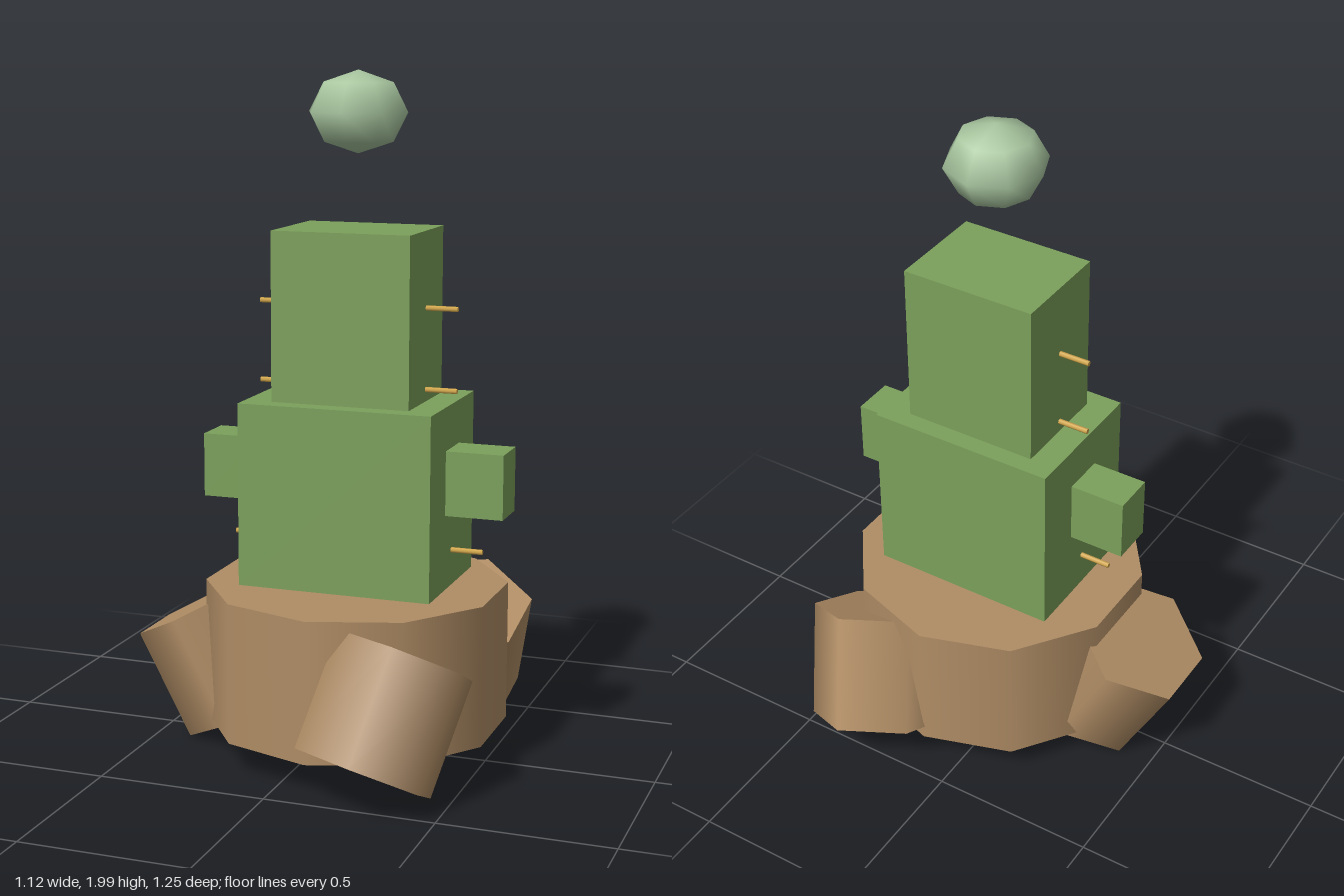
import * as THREE from 'three';

const CX = 0.1; // axis of the tower

export function createModel() {
  const model = new THREE.Group();
  const mat = (name, color) => Object.assign(new THREE.MeshStandardMaterial({ color }), { name });
  const green = mat('leafGreen', 0x7ba05b);
  const pale = mat('paleGreen', 0xa8c69f);
  const brown = mat('clayBrown', 0xb08d65);
  const gold = mat('spineGold', 0xd4a84b);

  const add = (name, geometry, material, x, y, z = 0) => {
    const mesh = new THREE.Mesh(geometry, material);
    mesh.name = name;
    mesh.position.set(x, y, z);
    model.add(mesh);
    return mesh;
  };
  const box = (name, w, y0, y1, d, x = CX) =>
    add(name, new THREE.BoxGeometry(w, y1 - y0, d), green, x, (y0 + y1) / 2);

  // ten-sided pot with a rounded underside
  add('pot', new THREE.CylinderGeometry(0.445, 0.445, 0.415, 10), brown, CX, 0.3075);
  add('potUnderside', new THREE.SphereGeometry(0.42, 10, 6), brown, CX, 0.25).scale.y = 0.48;

  // three stubby six-sided feet, each tipped by its place around the pot
  const tilt = 0.49;
  for (const angle of [Math.PI, Math.PI / 3, -Math.PI / 3]) {
    const c = Math.cos(angle), s = Math.sin(angle);
    const foot = add('foot', new THREE.CylinderGeometry(0.21, 0.21, 0.345, 6), brown,
      CX + 0.417 * c, 0.246, 0.417 * s);
    foot.rotation.set(-tilt * s, 0, -tilt * c, 'ZXY');
  }

  // stacked body blocks
  box('lowerBody', 0.576, 0.53, 1.065, 0.426);
  box('upperBody', 0.412, 1.065, 1.555, 0.314);

  // side arms and thin spines, mirrored
  for (const side of [1, -1]) {
    box('arm', 0.17, 0.75, 0.938, 0.13, CX + side * 0.372);
    for (const [y, from, to] of [[0.635, 0.28, 0.382], [1.1, 0.2, 0.3], [1.335, 0.2, 0.3]]) {
      const spine = add('spine', new THREE.CylinderGeometry(0.008, 0.008, to - from, 6), gold,
        CX + side * (from + to) / 2, y);
      spine.rotation.z = Math.PI / 2;
    }
  }

  // floating bud on top
  add('bud', new THREE.SphereGeometry(0.148, 8, 4), pale, CX, 1.883).scale.y = 0.79;

  return model;
}
